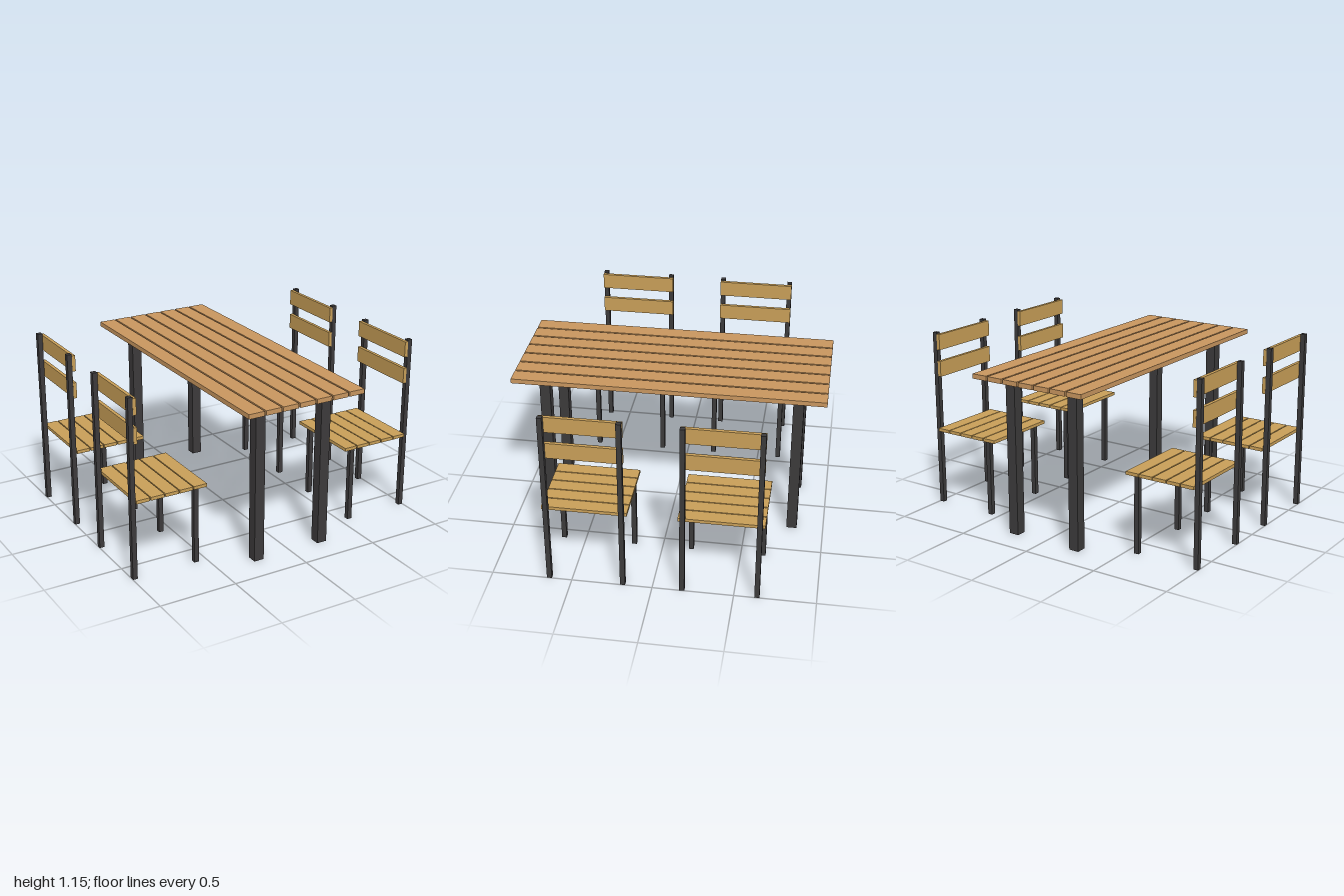
import * as THREE from 'three';

const tableWood = new THREE.MeshStandardMaterial({ color: 0xc8965f });
const chairWood = new THREE.MeshStandardMaterial({ color: 0xc89f58 });
const metal = new THREE.MeshStandardMaterial({ color: 0x3c3a3b });

// Box given by its size, centre in x and z, and its bottom height
function addBox(parent, name, material, [w, h, d], [x, bottom, z]) {
  const mesh = new THREE.Mesh(new THREE.BoxGeometry(w, h, d), material);
  mesh.name = name;
  mesh.position.set(x, bottom + h / 2, z);
  parent.add(mesh);
}

function createTable() {
  const table = new THREE.Group();
  table.name = 'table';
  // Seven long planks
  for (let i = -3; i <= 3; i++) {
    addBox(table, 'tablePlank', tableWood, [0.105, 0.03, 1.946], [i * 0.116, 1.013, 0]);
  }
  for (const sx of [-1, 1]) {
    for (const sz of [-1, 1]) {
      addBox(table, 'tableLeg', metal, [0.066, 1.013, 0.066], [sx * 0.231, 0, sz * 0.797]);
    }
  }
  return table;
}

// Chair with its back towards +x
function createChair() {
  const chair = new THREE.Group();
  chair.name = 'chair';
  // Seat slats
  for (let i = 0; i < 5; i++) {
    addBox(chair, 'seatSlat', chairWood, [0.088, 0.021, 0.52], [0.547 + i * 0.0947, 0.497, 0]);
  }
  // Short front legs and tall back posts
  for (const s of [-1, 1]) {
    addBox(chair, 'frontLeg', metal, [0.031, 0.497, 0.031], [0.569, 0, s * 0.229]);
    addBox(chair, 'backPost', metal, [0.031, 1.155, 0.031], [0.9845, 0, s * 0.229]);
  }
  // Two backrest boards on the inner side of the posts
  for (const bottom of [0.866, 1.043]) {
    addBox(chair, 'backrestBoard', chairWood, [0.022, 0.102, 0.49], [0.958, bottom, 0]);
  }
  return chair;
}

export function createModel() {
  const model = new THREE.Group();
  model.name = 'diningSet';
  model.add(createTable());
  // Two chairs on each long side, facing the table
  for (const turn of [0, Math.PI]) {
    for (const z of [-0.412, 0.412]) {
      const chair = createChair();
      chair.rotation.y = turn;
      chair.position.z = z;
      model.add(chair);
    }
  }
  return model;
}
